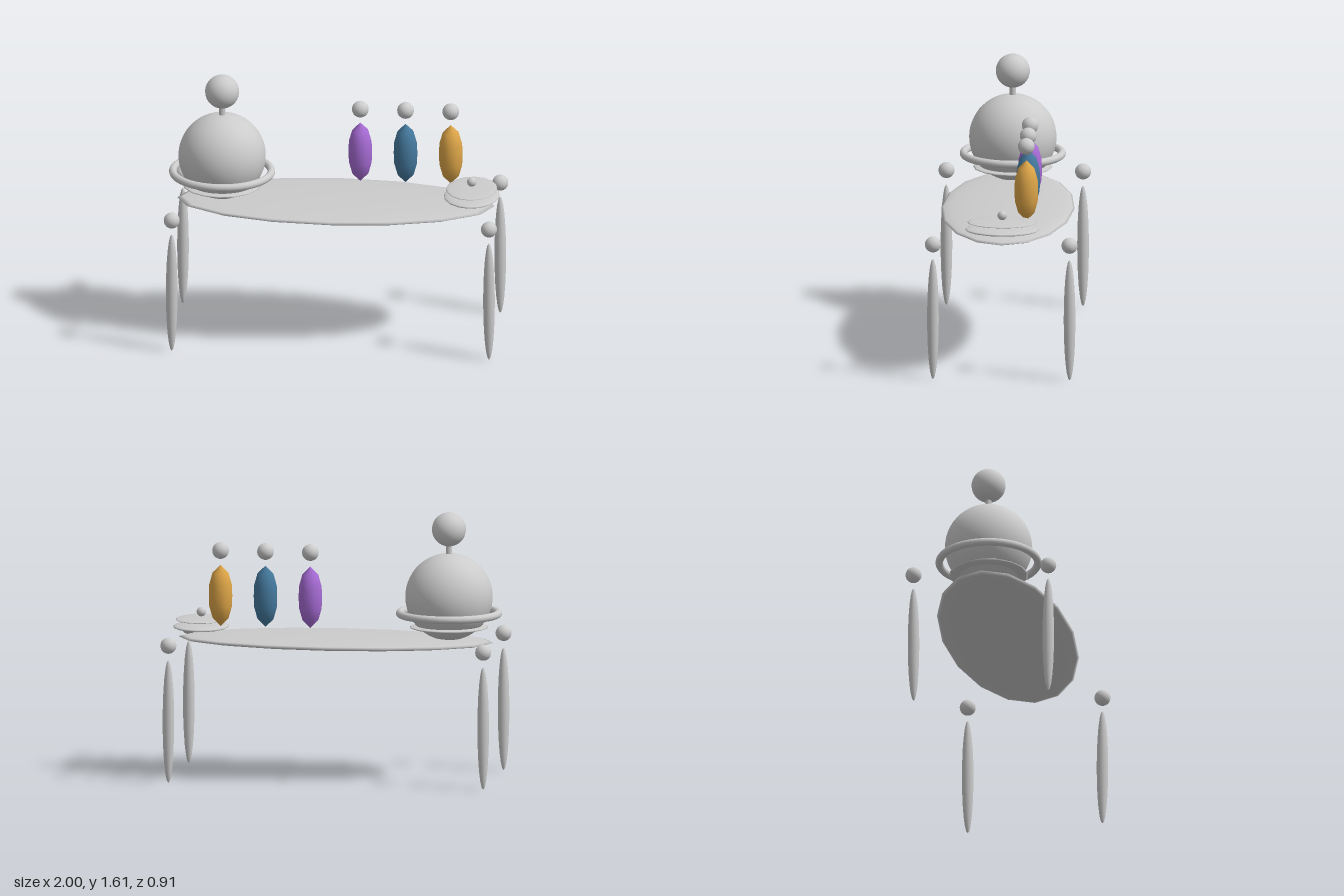
import * as THREE from 'three';

const grey = new THREE.MeshStandardMaterial({ color: 0xcccccc });

export function createModel() {
  const model = new THREE.Group();

  const add = (name, geometry, x, y, z, material = grey) => {
    const mesh = new THREE.Mesh(geometry, material);
    mesh.name = name;
    mesh.position.set(x, y, z);
    model.add(mesh);
    return mesh;
  };
  // Sphere stretched to three radii
  const ellipsoid = (rx, ry, rz, sides = 16, rows = 12) =>
    new THREE.SphereGeometry(1, sides, rows).scale(rx, ry, rz);
  const ball = (r) => new THREE.SphereGeometry(r, 24, 16);

  // Thin oval table top
  add('tableTop', ellipsoid(0.95, 0.036, 0.398), 0, 0.826, 0);

  // Floating spindle legs with ball caps
  for (const sx of [-1, 1]) {
    for (const sz of [-1, 1]) {
      add('leg', ellipsoid(0.035, 0.37, 0.035), sx * 0.95, 0.37, sz * 0.408);
      add('legCap', ball(0.048), sx * 0.95, 0.827, sz * 0.408);
    }
  }

  // Large round pot with a ring, a base saucer and a knob on a stem
  const potX = -0.682;
  add('potBody', new THREE.SphereGeometry(0.261, 40, 28), potX, 1.1, 0);
  add('potSaucer', ellipsoid(0.237, 0.017, 0.237), potX, 0.917, 0);
  add('potRing', new THREE.TorusGeometry(0.294, 0.023, 16, 56).rotateX(Math.PI / 2), potX, 1.0, 0);
  add('potStem', new THREE.CylinderGeometry(0.019, 0.019, 0.09, 16), potX, 1.385, 0);
  add('potKnob', new THREE.SphereGeometry(0.102, 28, 20), potX, 1.506, 0);

  // Covered oval plate overhanging the left end
  const plateX = 0.813;
  add('plate', ellipsoid(0.167, 0.02, 0.223), plateX, 0.89, 0);
  add('plateLid', ellipsoid(0.153, 0.01, 0.208), plateX, 0.934, 0);
  add('plateKnob', ball(0.028), plateX, 0.976, 0);

  // Three coloured bottles with floating round stoppers
  const profile = [[0, -1], [0.68, -0.74], [0.96, -0.36], [1, 0], [0.96, 0.36], [0.68, 0.74], [0, 1]]
    .map(([r, y]) => new THREE.Vector2(r * 0.071, y * 0.185));
  [0xa66bd4, 0x44789c, 0xdda548].forEach((color, i) => {
    const x = 0.134 + i * 0.271;
    add('bottle', new THREE.LatheGeometry(profile, 12), x, 1.098, -0.138,
      new THREE.MeshStandardMaterial({ color }));
    add('bottleStopper', ball(0.05), x, 1.368, -0.138);
  });

  return model;
}
